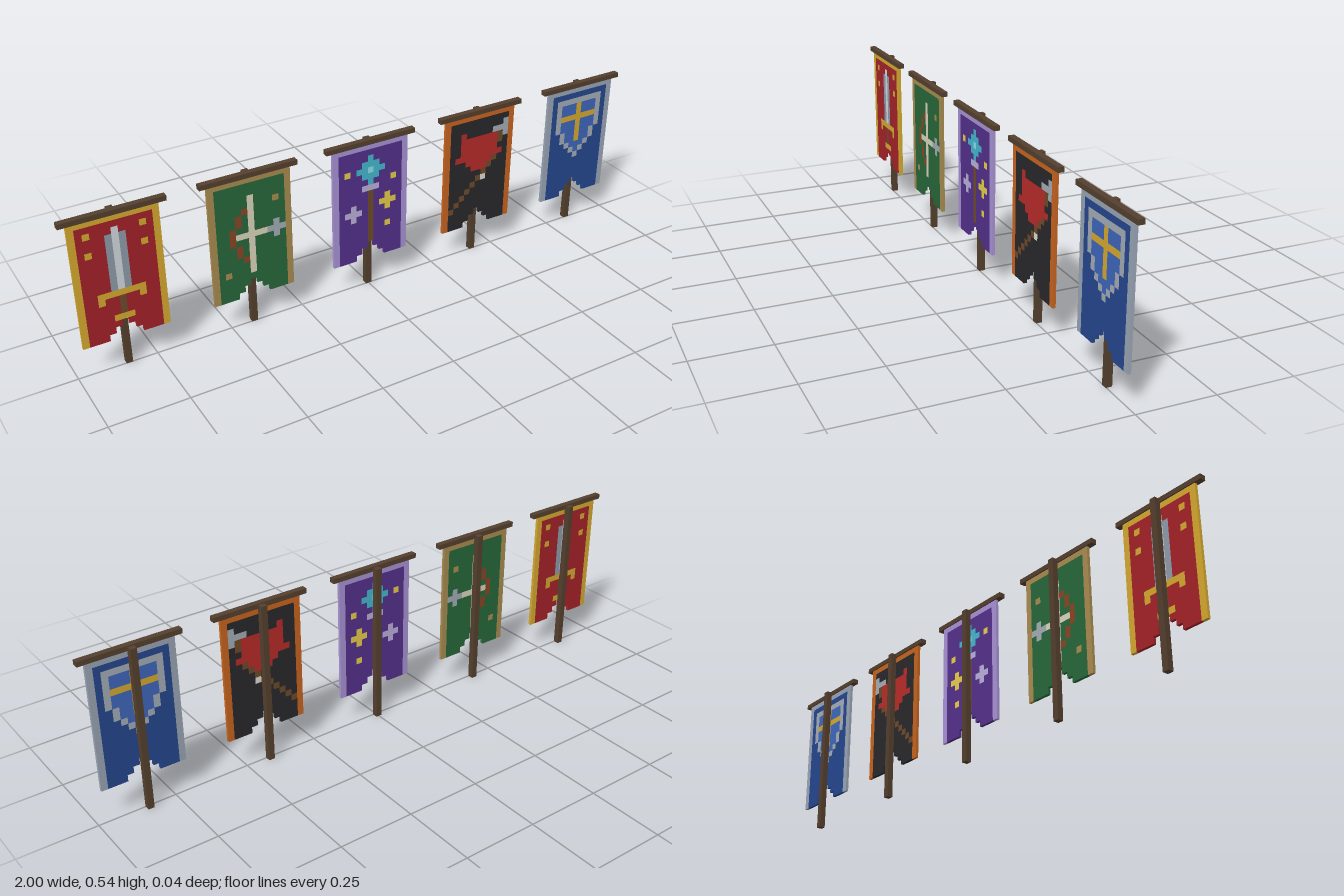
import * as THREE from 'three';
import { mergeGeometries } from 'three/addons/utils/BufferGeometryUtils.js';

const COLS = 13, ROWS = 20, MID = 6, CELL = 0.021, TOP = 0.527;
const WOOD = 0x54402e, GOLD = 0xd6a92f, BROWN = 0x6e4a2a, STEEL = 0xa5adb6;

// Painting helpers: fill cells of a grid, counted from the top left
function rect(grid, color, col, row, w = 1, h = 1) {
  for (let r = row; r < row + h; r++) grid[r].fill(color, col, col + w);
}
function pair(grid, color, col, row, w = 1, h = 1) {
  rect(grid, color, col, row, w, h);
  rect(grid, color, COLS - col - w, row, w, h);
}
function centred(grid, color, half, row, h = 1) {
  rect(grid, color, MID - half, row, 2 * half + 1, h);
}
function diamond(grid, color, col, row, radius) {
  for (let d = -radius; d <= radius; d++) {
    const half = radius - Math.abs(d);
    rect(grid, color, col - half, row + d, 2 * half + 1);
  }
}

function paintSword(grid) {
  pair(grid, GOLD, 2, 2);
  pair(grid, GOLD, 2, 5);
  pair(grid, 0x8f9cab, 5, 3, 1, 9);
  centred(grid, 0xd3d9e0, 0, 2, 10);
  centred(grid, GOLD, 3, 12);
  pair(grid, GOLD, 3, 13);
  centred(grid, BROWN, 0, 13, 3);
  centred(grid, GOLD, 1, 16);
}

function paintBow(grid) {
  const string = 0xdcd6bd, tan = 0xa98c50;
  for (let r = 5; r <= 13; r++) rect(grid, 0x8a4526, 3 + Math.floor(Math.abs(r - 9) / 2), r);
  centred(grid, string, 0, 3, 13);
  rect(grid, string, 4, 9, 6);
  diamond(grid, STEEL, 10, 9, 1);
  rect(grid, tan, 10, 4);
  rect(grid, tan, 2, 15);
}

function paintStaff(grid) {
  const yellow = 0xe8cf4a, pale = 0xbdb0dc;
  centred(grid, pale, 1, 7);
  centred(grid, BROWN, 0, 8, 9);
  diamond(grid, 0x45b8d0, MID, 4, 2);
  centred(grid, 0x8ae2ee, 0, 4);
  diamond(grid, yellow, 9, 10, 1);
  diamond(grid, pale, 3, 11, 1);
  rect(grid, yellow, 2, 4);
  rect(grid, yellow, 10, 6);
  rect(grid, yellow, 9, 14);
}

function paintBeast(grid) {
  const red = 0xb82b28;
  // axe handle runs behind the head
  for (let c = 1; c <= 10; c++) rect(grid, BROWN, c, 17 - c);
  pair(grid, red, 3, 3, 1, 2);
  centred(grid, red, 2, 4);
  centred(grid, red, 3, 5, 2);
  centred(grid, red, 4, 7);
  centred(grid, red, 2, 8);
  centred(grid, red, 1, 9);
  rect(grid, 0xe0dcd2, 7, 11);
  rect(grid, BROWN, 10, 4, 1, 2);
  rect(grid, STEEL, 9, 3, 2);
  rect(grid, STEEL, 11, 2, 1, 3);
}

function paintShield(grid) {
  // each row is an outline with a lighter field inside, narrowing to a tip
  for (let r = 2; r <= 12; r++) {
    const half = Math.min(r > 7 ? 3 : 4, 12 - r);
    centred(grid, STEEL, half, r);
    if (r > 2 && half > 0) centred(grid, 0x3f67bd, half - 1, r);
  }
  centred(grid, GOLD, 0, 3, 7);
  centred(grid, GOLD, 3, 5);
}

const banners = [
  { name: 'swordBanner', cloth: 0xa42228, border: GOLD, paint: paintSword },
  { name: 'bowBanner', cloth: 0x27683a, border: 0xa98c50, paint: paintBow },
  { name: 'staffBanner', cloth: 0x54308c, border: 0xa993d6, paint: paintStaff },
  { name: 'beastBanner', cloth: 0x29282c, border: 0xc8641f, paint: paintBeast },
  { name: 'shieldBanner', cloth: 0x25478f, border: 0x9aa5b5, paint: paintShield },
];

function woodBox(name, w, h, d, y, z) {
  const mesh = new THREE.Mesh(new THREE.BoxGeometry(w, h, d),
    new THREE.MeshStandardMaterial({ color: WOOD }));
  mesh.name = name;
  mesh.position.set(0, y, z);
  return mesh;
}

// Cloth of square cells, with a stepped notch at the bottom centre
function makeCloth({ cloth, border, paint }) {
  const grid = Array.from({ length: ROWS }, () => new Array(COLS).fill(cloth));
  centred(grid, border, MID, 0);
  pair(grid, border, 0, 0, 1, ROWS);
  paint(grid);
  for (let step = 0; step < 3; step++) centred(grid, null, step, ROWS - 3 + step);

  // join equal neighbours in a row into one strip, then merge strips by colour
  const strips = new Map();
  grid.forEach((row, r) => {
    for (let c = 0, end; c < COLS; c = end) {
      end = c + 1;
      while (end < COLS && row[end] === row[c]) end++;
      if (row[c] === null) continue;
      const strip = new THREE.BoxGeometry((end - c) * CELL, CELL, 0.01);
      strip.translate(((c + end) / 2 - COLS / 2) * CELL, TOP - (r + 0.5) * CELL, 0.009);
      if (!strips.has(row[c])) strips.set(row[c], []);
      strips.get(row[c]).push(strip);
    }
  });

  const group = new THREE.Group();
  group.name = 'cloth';
  for (const [color, list] of strips) {
    const mesh = new THREE.Mesh(mergeGeometries(list), new THREE.MeshStandardMaterial({ color }));
    mesh.name = color === cloth ? 'clothField' : color === border ? 'clothBorder' : 'emblem';
    group.add(mesh);
  }
  return group;
}

export function createModel() {
  const model = new THREE.Group();
  model.name = 'bannerRow';
  banners.forEach((design, i) => {
    const banner = new THREE.Group();
    banner.name = design.name;
    banner.position.x = (i - 2) * 0.42;
    banner.add(
      woodBox('pole', 0.02, 0.537, 0.02, 0.2685, -0.008),
      woodBox('crossbar', 0.32, 0.016, 0.02, 0.533, 0.01),
      makeCloth(design));
    model.add(banner);
  });
  return model;
}
